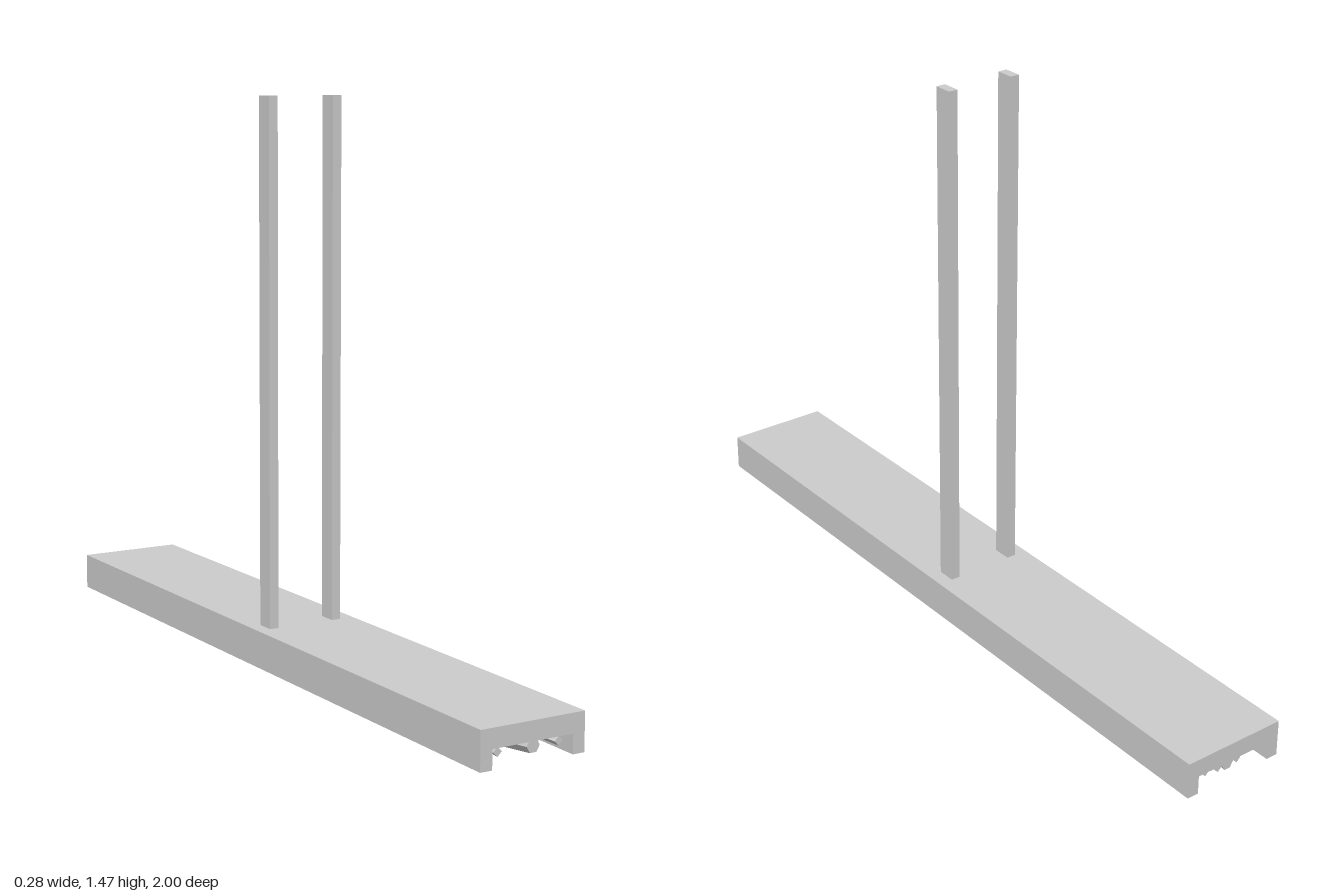
import * as THREE from 'three';

const material = new THREE.MeshStandardMaterial({ color: 0xcccccc, flatShading: true, side: THREE.DoubleSide });

// Loft a faceted cable through [x, y, z] points that run from front to back.
function cableGeometry(points, radius, sides) {
  const pos = [], idx = [];
  for (const [x, y, z] of points) {
    for (let i = 0; i < sides; i++) {
      const a = (i / sides) * Math.PI * 2;
      pos.push(x + radius * Math.cos(a), y + radius * Math.sin(a), z);
    }
  }
  for (let p = 0; p < points.length - 1; p++) {
    for (let i = 0; i < sides; i++) {
      const a = p * sides + i, b = p * sides + (i + 1) % sides;
      idx.push(a, a + sides, b, b, a + sides, b + sides);
    }
  }
  // end caps
  const last = (points.length - 1) * sides;
  for (let i = 1; i < sides - 1; i++) {
    idx.push(0, i, i + 1, last, last + i + 1, last + i);
  }
  const geometry = new THREE.BufferGeometry();
  geometry.setAttribute('position', new THREE.Float32BufferAttribute(pos, 3));
  geometry.setIndex(idx);
  geometry.computeVertexNormals();
  return geometry;
}

export function createModel() {
  const group = new THREE.Group();
  const add = (name, geometry) => {
    const mesh = new THREE.Mesh(geometry, material);
    mesh.name = name;
    group.add(mesh);
    return mesh;
  };

  // Upside-down U channel running along z
  const section = new THREE.Shape([
    [-0.142, 0.03], [-0.11, 0.03], [-0.11, 0.078], [0.11, 0.078],
    [0.11, 0.03], [0.142, 0.03], [0.142, 0.126], [-0.142, 0.126],
  ].map(([x, y]) => new THREE.Vector2(x, y)));
  add('channel', new THREE.ExtrudeGeometry(section, { depth: 2, bevelEnabled: false }).translate(0, 0, -1));

  // Two hanging posts
  for (const [name, x] of [['leftPost', 0.091], ['rightPost', -0.094]]) {
    add(name, new THREE.BoxGeometry(0.025, 1.352, 0.05)).position.set(x, 0.8, 0);
  }

  // Loose cables zigzagging inside the channel
  const cables = [
    [0.018, 6, [[0.015, 0.06, 0.98], [-0.012, 0.022, 0.58], [0.04, 0.055, 0.1], [0.06, 0.058, -0.15], [-0.08, 0.055, -0.63], [0, 0.055, -0.98]]],
    [0.012, 4, [[-0.06, 0.05, 0.95], [0.02, 0.055, 0.34], [0.07, 0.06, -0.13], [0.02, 0.045, -0.46], [0, 0.018, -0.83], [0.03, 0.055, -0.98]]],
    [0.011, 4, [[-0.09, 0.047, 0.94], [-0.07, 0.062, 0.5], [-0.02, 0.06, 0], [-0.07, 0.06, -0.5], [-0.03, 0.055, -0.98]]],
    [0.011, 4, [[0.085, 0.06, 0.98], [0.06, 0.06, 0.5], [-0.05, 0.06, 0], [0.03, 0.06, -0.5], [0.07, 0.06, -0.98]]],
  ];
  cables.forEach(([radius, sides, points], i) => add(`cable${i + 1}`, cableGeometry(points, radius, sides)));

  return group;
}
